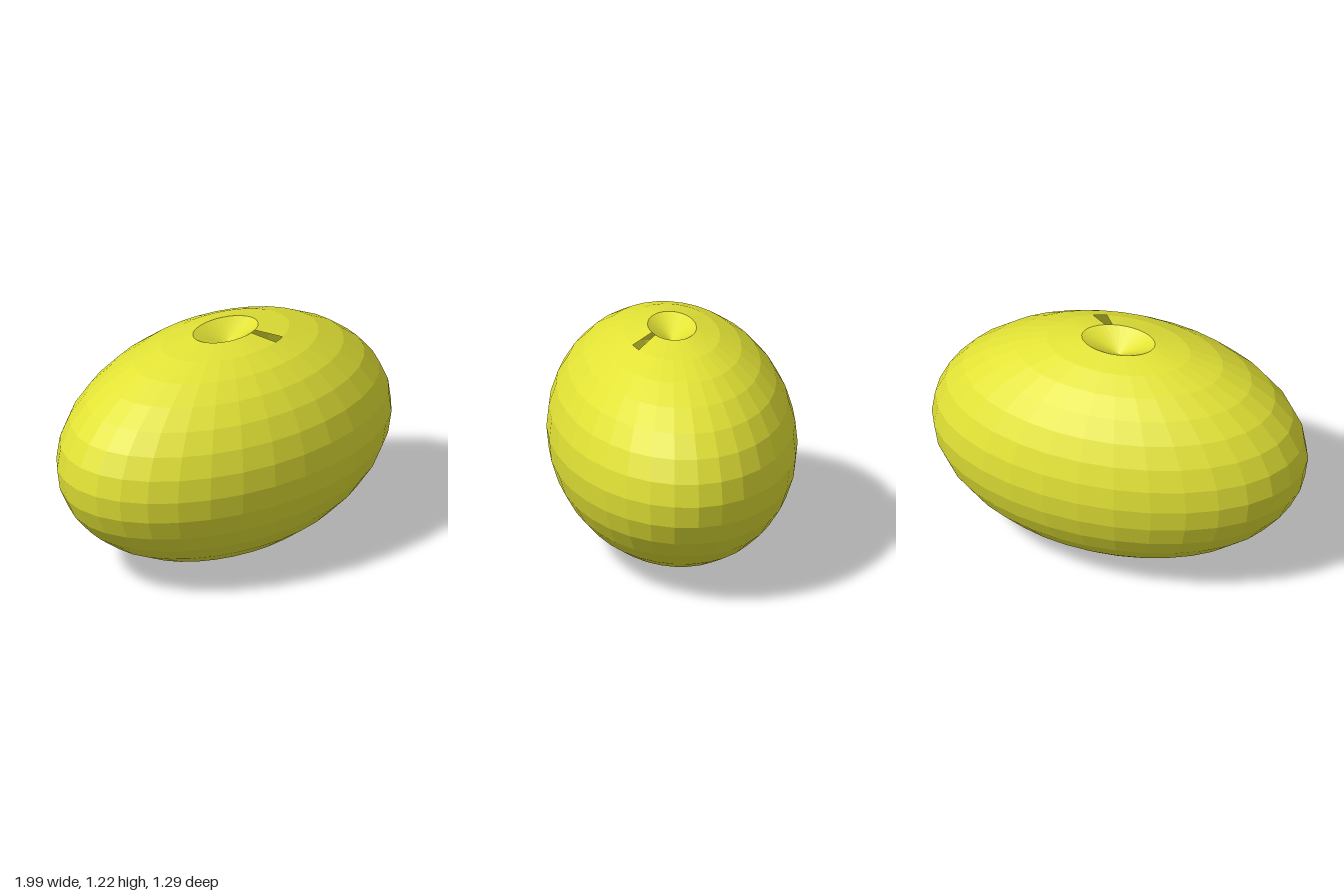
import * as THREE from 'three';

const SEGMENTS = 32;
const RINGS = 16;
const RADII = { x: 1.005, y: 0.614, z: 0.637 };

export function createModel() {
  const model = new THREE.Group();
  const geometry = new THREE.SphereGeometry(1, SEGMENTS, RINGS);

  // Dimple: push the top pole below the first ring.
  const position = geometry.attributes.position;
  for (let i = 0; i <= SEGMENTS; i++) position.setXYZ(i, 0, 0.83, 0);

  // Small opening: leave out one quad of the second ring, beside the dimple.
  const index = Array.from(geometry.index.array);
  index.splice(SEGMENTS * 3 + 10 * 6, 6);
  geometry.setIndex(index);

  geometry.scale(RADII.x, RADII.y, RADII.z);
  geometry.computeVertexNormals();

  const material = new THREE.MeshStandardMaterial({
    color: 0xe2e236,
    flatShading: true,
    side: THREE.DoubleSide,
  });
  const body = new THREE.Mesh(geometry, material);
  body.name = 'dimpledBody';

  // Slight turn and lean of the whole body.
  body.rotation.set(0, THREE.MathUtils.degToRad(7), THREE.MathUtils.degToRad(-0.9), 'ZYX');
  body.position.y = RADII.y;
  model.add(body);
  return model;
}
